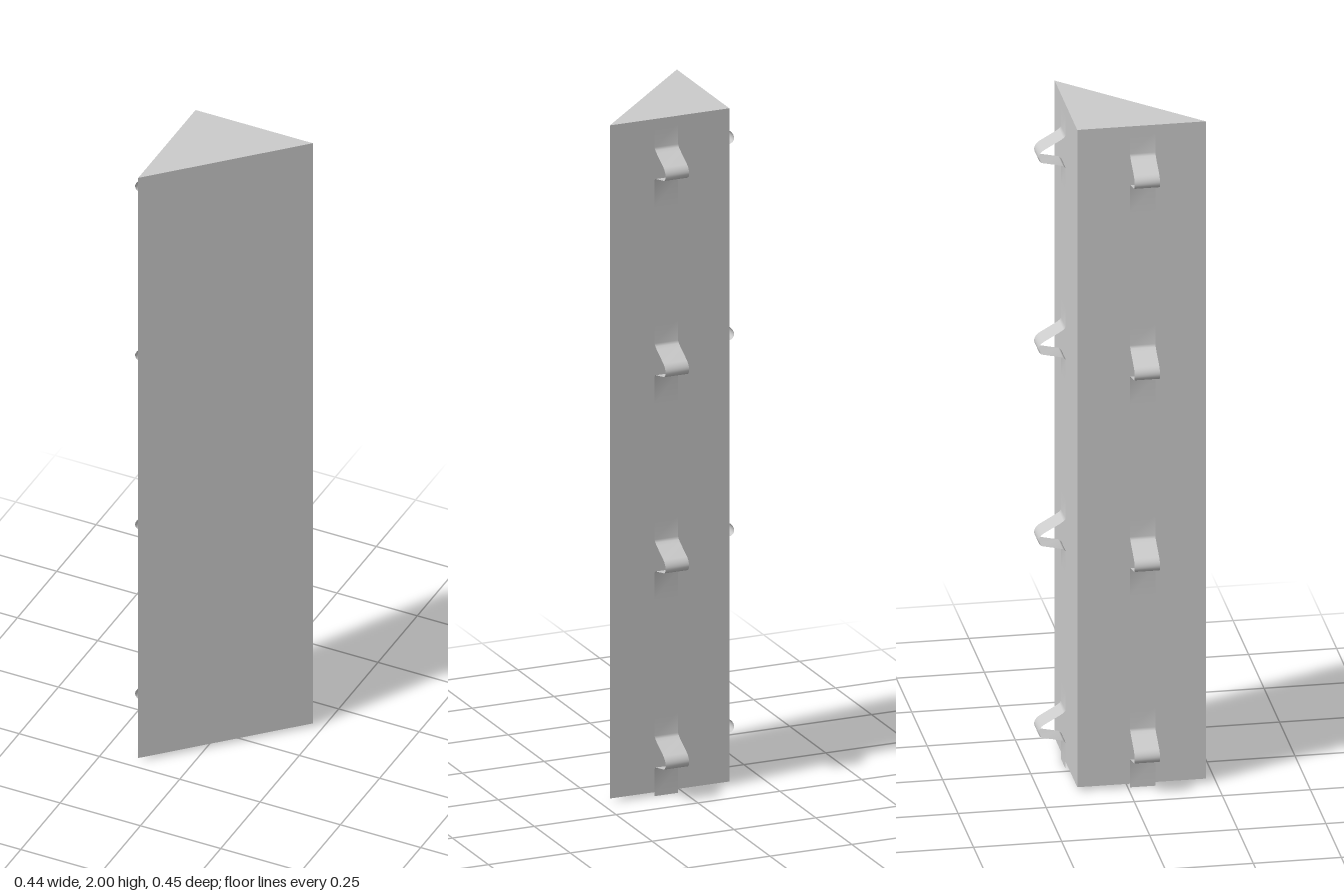
import * as THREE from 'three';

const material = new THREE.MeshStandardMaterial({ color: 0xcccccc, side: THREE.DoubleSide });

// Thin bent strip: flat tab, sloping bulge, rounded nose, return to the wall, flat tab
function clipGeometry(width) {
  const nose = new THREE.CubicBezierCurve(
    new THREE.Vector2(0.062, 0.138), new THREE.Vector2(0.078, 0.128),
    new THREE.Vector2(0.083, 0.108), new THREE.Vector2(0.068, 0.1));
  // profile points: x = distance out from the wall, y = height
  const profile = [
    new THREE.Vector2(0, 0.24), new THREE.Vector2(0, 0.178),
    new THREE.Vector2(0.006, 0.171), new THREE.Vector2(0.016, 0.164),
    ...nose.getPoints(8),
    new THREE.Vector2(0.008, 0.087), new THREE.Vector2(0, 0.08),
    new THREE.Vector2(0, 0),
  ];
  const geometry = new THREE.PlaneGeometry(width, 1, 1, profile.length - 1);
  const position = geometry.attributes.position;
  for (let i = 0; i < position.count; i++) {
    const p = profile[Math.floor(i / 2)];
    position.setXYZ(i, position.getX(i), p.y, p.x);
  }
  geometry.computeVertexNormals();
  return geometry;
}

export function createModel() {
  const model = new THREE.Group();

  // Triangular column, right angle at the back left corner
  const near = -0.143, far = 0.222, base = 0.01;
  const section = new THREE.Shape([
    new THREE.Vector2(near, -near),
    new THREE.Vector2(near, -far),
    new THREE.Vector2(far, -near),
  ]);
  const columnGeometry = new THREE.ExtrudeGeometry(section, { depth: 2 - base, bevelEnabled: false });
  columnGeometry.rotateX(-Math.PI / 2);
  const column = new THREE.Mesh(columnGeometry, material);
  column.name = 'triangularColumn';
  column.position.y = base;
  model.add(column);

  // Four spring clips up each of the two square faces
  const geometry = clipGeometry(0.072);
  for (let i = 0; i < 4; i++) {
    const y = i * 0.58;
    const back = new THREE.Mesh(geometry, material);
    back.name = `backClip${i + 1}`;
    back.position.set(0.052, y, -0.148);
    back.rotation.y = Math.PI;

    const side = new THREE.Mesh(geometry, material);
    side.name = `sideClip${i + 1}`;
    side.position.set(-0.146, y, 0.042);
    side.rotation.y = -Math.PI / 2;
    model.add(back, side);
  }
  return model;
}
